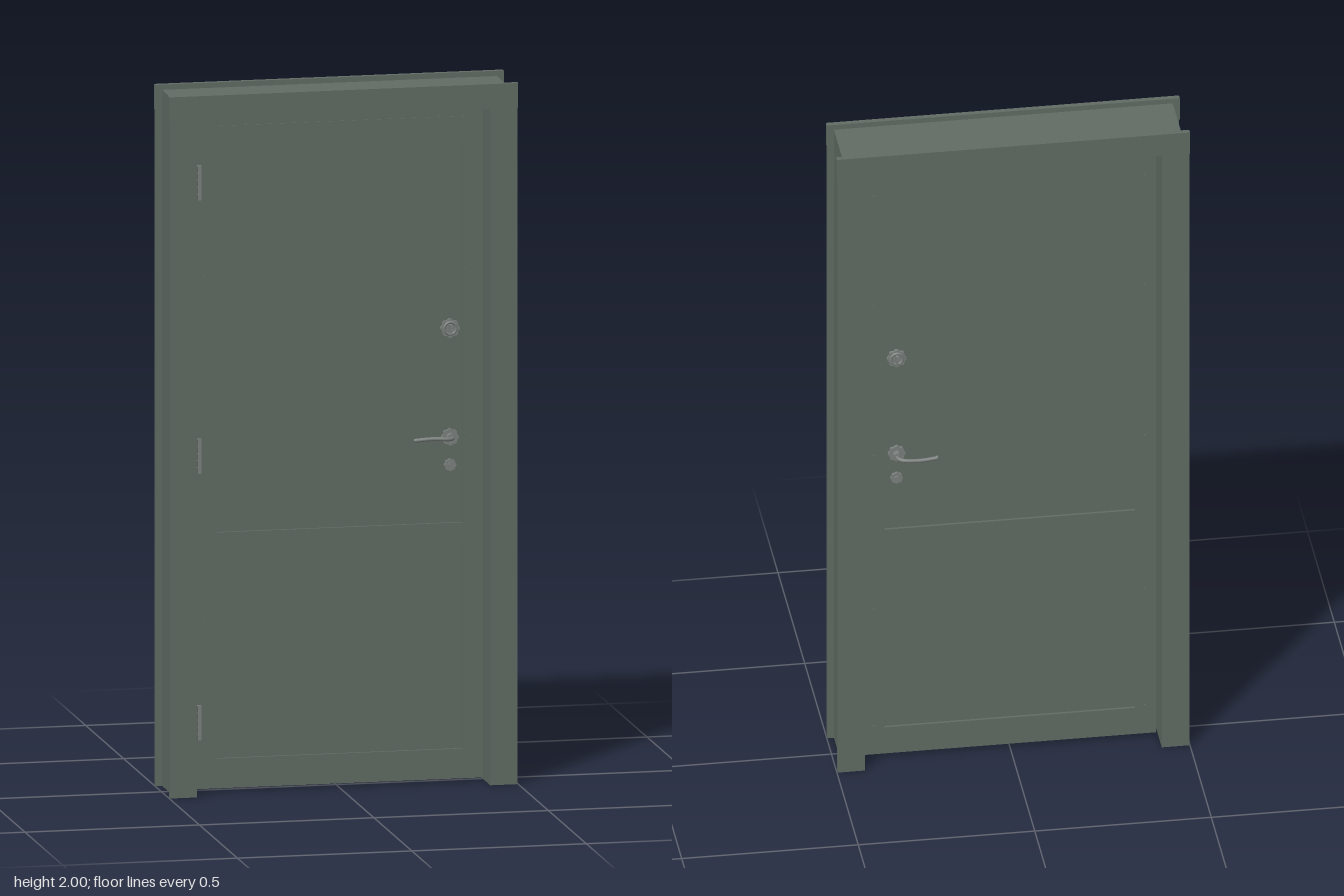
import * as THREE from 'three';

export function createModel() {
  const paint = new THREE.MeshStandardMaterial({ color: 0x616b64 });
  paint.name = 'grey green paint';
  const metal = new THREE.MeshStandardMaterial({ color: 0x7c827f });
  metal.name = 'brushed metal';
  const model = new THREE.Group();
  model.name = 'framedDoor';

  const add = (parent, name, geometry, material, x = 0, y = 0, z = 0) => {
    const mesh = new THREE.Mesh(geometry, material);
    mesh.name = name;
    mesh.position.set(x, y, z);
    parent.add(mesh);
    return mesh;
  };
  // box given by its limits on each axis
  const box = (parent, name, x0, x1, y0, y1, z0, z1, material = paint) =>
    add(parent, name, new THREE.BoxGeometry(x1 - x0, y1 - y0, z1 - z0), material,
      (x0 + x1) / 2, (y0 + y1) / 2, (z0 + z1) / 2);

  // frame lining the wall opening
  const frame = new THREE.Group();
  frame.name = 'frame';
  model.add(frame);
  box(frame, 'leftJamb', 0.42, 0.48, 0, 1.93, -0.087, 0.087);
  box(frame, 'rightJamb', -0.48, -0.42, 0, 1.93, -0.087, 0.087);
  box(frame, 'headJamb', -0.48, 0.48, 1.93, 1.985, -0.087, 0.087);

  // casings on both faces of the wall
  for (const s of [1, -1]) {
    const casing = new THREE.Group();
    casing.name = s > 0 ? 'frontCasing' : 'backCasing';
    model.add(casing);
    const [z0, z1] = s > 0 ? [0.087, 0.1025] : [-0.1025, -0.087];
    box(casing, 'leftCasing', 0.42, 0.498, 0, 1.93, z0, z1);
    box(casing, 'rightCasing', -0.498, -0.42, 0, 1.93, z0, z1);
    box(casing, 'headCasing', -0.5, 0.5, 1.93, 2, z0, z1);
  }

  // door leaf: one extruded stile and rail frame around two recessed panels
  const door = new THREE.Group();
  door.name = 'door';
  model.add(door);
  const rect = (path, x, y0, y1) =>
    path.moveTo(-x, y0).lineTo(x, y0).lineTo(x, y1).lineTo(-x, y1).closePath();
  const outline = rect(new THREE.Shape(), 0.414, 0.01, 1.922);
  for (const [y0, y1] of [[0.095, 0.68], [0.74, 1.825]]) {
    outline.holes.push(rect(new THREE.Path(), 0.355, y0, y1));
    box(door, 'panel', -0.355, 0.355, y0, y1, -0.027, 0.027);
  }
  add(door, 'stilesAndRails', new THREE.ExtrudeGeometry(outline, { depth: 0.07, bevelEnabled: false }),
    paint, 0, 0, -0.035);

  // scalloped escutcheon plate
  const rose = (r, depth) => {
    const points = [];
    for (let i = 0; i < 48; i++) {
      const a = (i / 48) * Math.PI * 2;
      const d = r * (0.93 + 0.07 * Math.cos(a * 8));
      points.push(new THREE.Vector2(d * Math.cos(a), d * Math.sin(a)));
    }
    return new THREE.ExtrudeGeometry(new THREE.Shape(points), { depth, bevelEnabled: false });
  };
  const disc = (r, depth, n = 20) =>
    new THREE.CylinderGeometry(r, r, depth, n).rotateX(Math.PI / 2);

  const lever = new THREE.CatmullRomCurve3([
    [0, 0, 0], [0, 0, 0.036], [-0.012, 0.001, 0.046], [-0.06, 0.004, 0.048], [-0.108, 0.001, 0.046],
  ].map((p) => new THREE.Vector3(...p)));

  // hardware repeated on both faces; the back set is mirrored in z by rotation about x
  for (const s of [1, -1]) {
    const side = new THREE.Group();
    side.name = s > 0 ? 'frontHardware' : 'backHardware';
    if (s < 0) side.rotation.x = Math.PI;
    model.add(side);
    const z = 0.027;

    // deadbolt with a thumb turn
    add(side, 'deadboltRose', rose(0.028, 0.008), metal, 0.32, s * 1.295, z);
    add(side, 'deadboltRing', new THREE.TorusGeometry(0.017, 0.004, 8, 24), metal, 0.32, s * 1.295, z + 0.009);
    add(side, 'deadboltTurn', new THREE.BoxGeometry(0.007, 0.024, 0.016), metal, 0.32, s * 1.295, z + 0.014);

    // lever handle
    add(side, 'leverRose', rose(0.025, 0.009), metal, 0.32, s * 0.985, z);
    add(side, 'leverHub', disc(0.012, 0.022), metal, 0.32, s * 0.985, z + 0.016);
    add(side, 'lever', new THREE.TubeGeometry(lever, 24, 0.0055, 10), metal, 0.32, s * 0.985, z);
    add(side, 'leverTip', new THREE.SphereGeometry(0.0055, 10, 8), metal, 0.212, s * 0.986, z + 0.046);

    // key cylinder
    add(side, 'keyRose', rose(0.018, 0.008), metal, 0.32, s * 0.905, z);
    add(side, 'keyCylinder', disc(0.008, 0.008), metal, 0.32, s * 0.905, z + 0.01);

    // screw caps along the stiles
    for (const x of [-0.384, 0.384])
      for (const y of [0.1, 0.48, 0.98, 1.47, 1.83])
        add(side, 'screwCap', disc(0.006, 0.004, 12), paint, x, s * y, 0.036);

    // cover strip along the top rail
    box(side, 'topStrip', -0.36, 0.36, s > 0 ? 1.865 : -1.9, s > 0 ? 1.9 : -1.865, 0.034, 0.037);
  }

  // three hinges of five knuckles each
  for (const y of [0.2, 0.96, 1.74]) {
    const hinge = new THREE.Group();
    hinge.name = 'hinge';
    hinge.position.set(-0.41, y, 0.037);
    model.add(hinge);
    add(hinge, 'hingeLeaf', new THREE.BoxGeometry(0.022, 0.1, 0.004), metal, 0.005, 0, 0);
    for (let i = -2; i <= 2; i++)
      add(hinge, 'knuckle', new THREE.CylinderGeometry(0.007, 0.007, 0.018, 14), metal, -0.002, i * 0.02, 0.005);
    add(hinge, 'hingePin', new THREE.CylinderGeometry(0.005, 0.005, 0.104, 12), metal, -0.002, 0, 0.005);
  }
  return model;
}
